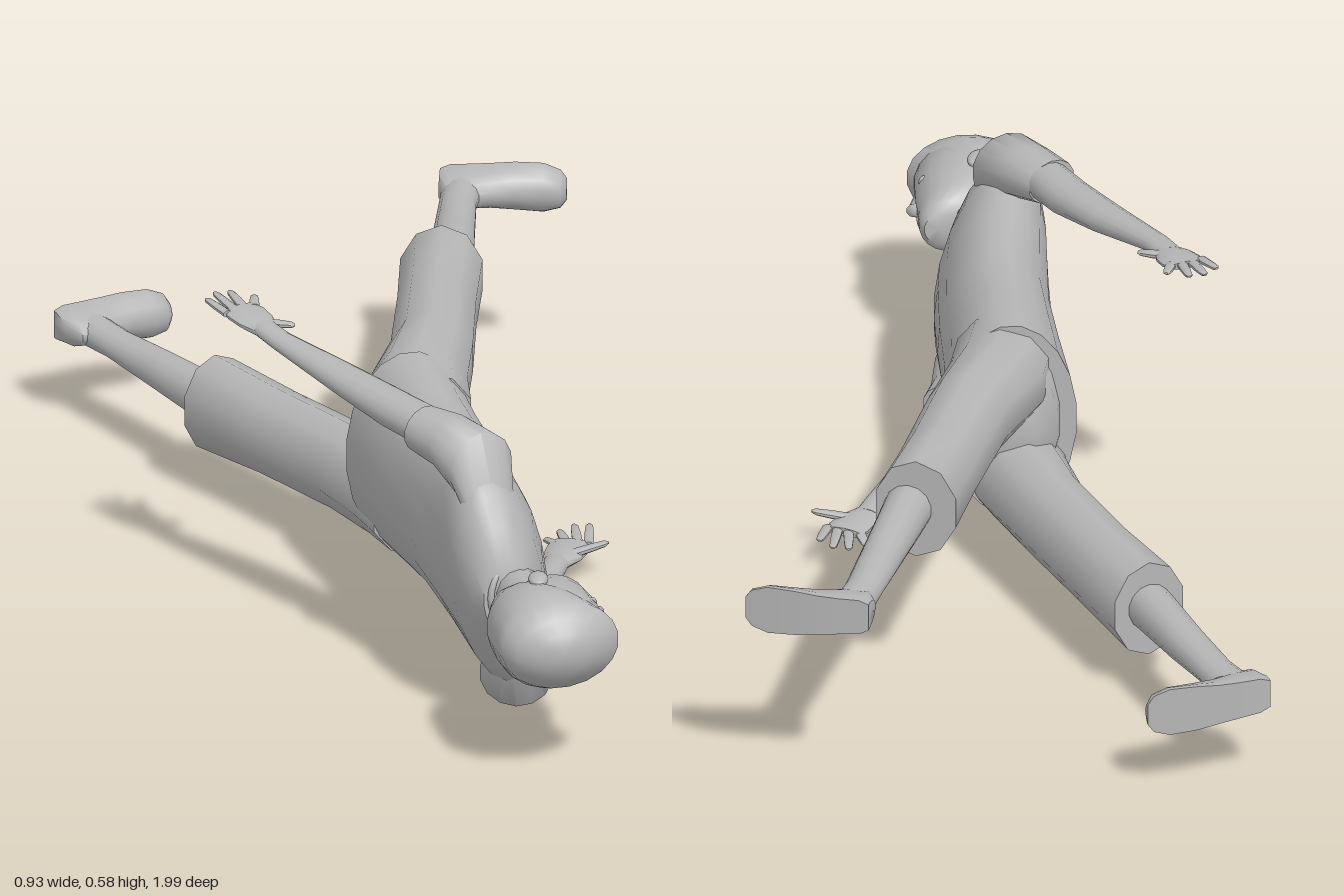
import * as THREE from 'three';
import { toCreasedNormals } from 'three/addons/utils/BufferGeometryUtils.js';

const grey = new THREE.MeshStandardMaterial({ color: 0xb6b6b6 });
grey.name = 'plain grey';

const Z = new THREE.Vector3(0, 0, 1);

// Crease at true size: the helper rounds positions, so work enlarged.
function crease(geo, angle) {
  geo.scale(100, 100, 100);
  return toCreasedNormals(geo, angle).scale(0.01, 0.01, 0.01);
}

// Skin elliptical rings [x, y, z, depth, width, twist]; width lies along y.
// flat clips the rings on one side, as for a sole.
function loft(name, rings, { n = 14, axis = null, flat = 1, angle = 0.9 } = {}) {
  const pos = [], index = [];
  const centres = rings.map(r => new THREE.Vector3(r[0], r[1], r[2]));
  const up = new THREE.Vector3(0, 1, 0);
  const last = rings.length - 1;
  rings.forEach(([x, y, z, d, w, twist = 0], i) => {
    const t = axis ? axis.clone() : centres[Math.min(i + 1, last)].clone().sub(centres[Math.max(i - 1, 0)]);
    const b = up.clone().cross(t).normalize();
    for (let j = 0; j < n; j++) {
      const a = ((j + 0.5) / n) * Math.PI * 2;
      const c = Math.min(Math.cos(a), flat) * d, s = Math.sin(a) * w;
      pos.push(x + b.x * c - twist * s, y + s, z + b.z * c);
    }
  });
  for (let i = 0; i < last; i++) {
    for (let j = 0; j < n; j++) {
      const k = (j + 1) % n, p = i * n, q = p + n;
      index.push(p + j, p + k, q + k, p + j, q + k, q + j);
    }
  }
  // End caps
  const c0 = pos.length / 3;
  pos.push(...centres[0].toArray(), ...centres[last].toArray());
  for (let j = 0; j < n; j++) {
    const k = (j + 1) % n;
    index.push(c0, k, j, c0 + 1, last * n + j, last * n + k);
  }
  const geo = new THREE.BufferGeometry();
  geo.setAttribute('position', new THREE.Float32BufferAttribute(pos, 3));
  geo.setIndex(index);
  const mesh = new THREE.Mesh(crease(geo, angle), grey);
  mesh.name = name;
  return mesh;
}

function blob(name, p, s) {
  const mesh = new THREE.Mesh(new THREE.SphereGeometry(1, 14, 10), grey);
  mesh.position.set(...p);
  mesh.scale.set(...s);
  mesh.name = name;
  return mesh;
}

// Foot with a slightly bowed flat sole
function foot(name, heel, toe) {
  const a = new THREE.Vector3(...heel), b = new THREE.Vector3(...toe);
  const rings = [
    [0, 0.05, 0.026], [0.08, 0.085, 0.034], [0.25, 0.09, 0.036], [0.42, 0.068, 0.039],
    [0.6, 0.052, 0.044], [0.82, 0.042, 0.046], [0.95, 0.034, 0.036], [1, 0.018, 0.02],
  ].map(([u, d, w]) => {
    const p = a.clone().lerp(b, u);
    return [p.x, p.y, p.z - 0.008 * Math.sin(Math.PI * u), d, w];
  });
  return loft(name, rings, { n: 16, axis: b.clone().sub(a), flat: 0 });
}

// Tapered digit from a knuckle to a tip
function digit(name, from, to, r) {
  const a = new THREE.Vector3(...from), b = new THREE.Vector3(...to);
  const rings = [[0, 1], [0.55, 0.9], [0.9, 0.7], [1, 0.3]]
    .map(([u, k]) => [...a.clone().lerp(b, u).toArray(), r * k, r * 0.65 * k]);
  return loft(name, rings, { n: 8 });
}

function arm(name, { sleeve, forearm, palm, tips, thumb }) {
  const g = new THREE.Group();
  g.name = name;
  g.add(loft('sleeve', sleeve, { angle: 1 }), loft('forearm', forearm), loft('palm', palm));
  const end = palm[palm.length - 1];
  tips.forEach((tip, i) => {
    // Knuckles spread evenly across the end of the palm
    const s = (i - 1.5) * 0.018;
    const tilt = end[0] < 0 ? -0.35 : 0.35;
    g.add(digit('finger', [end[0] + s, end[1], end[2] + 0.012 + s * tilt], tip, 0.01));
  });
  g.add(digit('thumb', thumb[0], thumb[1], 0.012));
  return g;
}

function leg(name, { trouser, shin, heel, toe }) {
  const g = new THREE.Group();
  g.name = name;
  g.add(loft('trouserLeg', trouser, { n: 10, angle: 1 }), loft('shin', shin), foot('foot', heel, toe));
  return g;
}

function head() {
  const g = new THREE.Group();
  g.name = 'head';
  const y = 0.265;
  const ring = ([z, x, d, w]) => [x, y, z, d, w];
  g.add(loft('neck', [[0.62, -0.05, 0.048, 0.055], [0.7, -0.046, 0.043, 0.05], [0.79, -0.04, 0.048, 0.052]].map(ring), { axis: Z }));
  g.add(loft('face', [
    [0.735, 0.025, 0.028, 0.028], [0.748, 0.008, 0.053, 0.05], [0.78, -0.015, 0.077, 0.069],
    [0.82, -0.03, 0.094, 0.08], [0.87, -0.035, 0.098, 0.086], [0.92, -0.035, 0.096, 0.084],
    [0.96, -0.035, 0.07, 0.06],
  ].map(ring), { n: 20, axis: Z }));
  g.add(loft('hair', [
    [0.785, -0.085, 0.04, 0.055], [0.83, -0.07, 0.071, 0.081], [0.88, -0.056, 0.088, 0.093],
    [0.915, -0.045, 0.099, 0.092], [0.942, -0.035, 0.108, 0.083], [0.972, -0.04, 0.082, 0.06],
    [0.989, -0.04, 0.048, 0.037], [0.997, -0.04, 0.015, 0.015],
  ].map(ring), { n: 20, axis: Z }));
  g.add(loft('nose', [
    [0.803, 0.058, 0.01, 0.01], [0.812, 0.063, 0.018, 0.014],
    [0.825, 0.061, 0.014, 0.009], [0.865, 0.055, 0.009, 0.007],
  ].map(ring), { n: 10, axis: Z, angle: 1.6 }));
  g.add(blob('mouth', [0.054, y, 0.776], [0.01, 0.02, 0.005]));
  for (const s of [-1, 1]) {
    g.add(blob('eye', [0.047, y + s * 0.035, 0.853], [0.009, 0.013, 0.006]));
    const ear = blob('ear', [-0.048, y + s * 0.087, 0.838], [0.018, 0.01, 0.03]);
    ear.rotation.y = -0.25;
    g.add(ear);
  }
  return g;
}

export function createModel() {
  const model = new THREE.Group();
  model.name = 'walkingFigure';
  model.add(head());

  // Shirt, with the shoulders turned against the hips: [z, x, depth, width, twist]
  const shirt = [
    [-0.02, -0.058, 0.118, 0.187, 0], [0.15, -0.054, 0.107, 0.176, 0.03], [0.3, -0.048, 0.102, 0.171, 0.06],
    [0.45, -0.05, 0.1, 0.188, 0.12], [0.54, -0.053, 0.096, 0.208, 0.15], [0.6, -0.06, 0.088, 0.208, 0.15],
    [0.64, -0.063, 0.078, 0.178, 0.13], [0.67, -0.066, 0.062, 0.125, 0.1], [0.7, -0.068, 0.044, 0.068, 0],
  ].map(([z, x, d, w, tw]) => [x, 0.263, z, d, w, tw]);
  model.add(loft('shirt', shirt, { n: 20, axis: Z }));

  const collar = new THREE.Mesh(new THREE.TorusGeometry(0.056, 0.006, 8, 24), grey);
  collar.name = 'collar';
  collar.position.set(-0.05, 0.265, 0.675);
  collar.rotation.y = 0.5;
  collar.scale.y = 1.1;
  model.add(collar);

  // Seat narrows to the crotch between the legs
  model.add(loft('trouserSeat', [
    [-0.05, 0.262, -0.09, 0.05, 0.06], [-0.052, 0.262, -0.05, 0.088, 0.16], [-0.055, 0.262, 0.05, 0.105, 0.178],
  ], { n: 16, axis: Z, angle: 1.3 }));

  model.add(arm('rightArm', {
    sleeve: [[-0.075, 0.378, 0.638, 0.04, 0.045], [-0.085, 0.468, 0.578, 0.066, 0.064],
      [-0.12, 0.491, 0.505, 0.057, 0.05], [-0.157, 0.498, 0.448, 0.05, 0.041]],
    forearm: [[-0.14, 0.5, 0.47, 0.042, 0.036], [-0.185, 0.505, 0.37, 0.042, 0.034], [-0.245, 0.521, 0.25, 0.037, 0.026],
      [-0.325, 0.545, 0.1, 0.024, 0.016], [-0.345, 0.552, 0.045, 0.024, 0.013]],
    palm: [[-0.34, 0.55, 0.055, 0.024, 0.013], [-0.352, 0.556, 0.025, 0.036, 0.012],
      [-0.363, 0.561, -0.005, 0.039, 0.01], [-0.37, 0.564, -0.025, 0.034, 0.007]],
    tips: [[-0.422, 0.573, -0.06], [-0.4, 0.573, -0.085], [-0.372, 0.572, -0.088], [-0.332, 0.568, -0.065]],
    thumb: [[-0.345, 0.555, 0.03], [-0.288, 0.553, 0.052]],
  }));
  model.add(arm('leftArm', {
    sleeve: [[-0.045, 0.148, 0.638, 0.04, 0.045], [-0.02, 0.064, 0.578, 0.066, 0.063],
      [0, 0.053, 0.505, 0.057, 0.05], [0.026, 0.058, 0.44, 0.05, 0.043]],
    forearm: [[0.015, 0.06, 0.46, 0.042, 0.036], [0.038, 0.058, 0.36, 0.042, 0.032], [0.08, 0.054, 0.25, 0.038, 0.027],
      [0.168, 0.048, 0.1, 0.025, 0.018], [0.195, 0.046, 0.045, 0.024, 0.014]],
    palm: [[0.19, 0.046, 0.055, 0.024, 0.013], [0.212, 0.047, 0.025, 0.036, 0.013],
      [0.23, 0.048, -0.005, 0.039, 0.011], [0.24, 0.05, -0.025, 0.034, 0.008]],
    tips: [[0.203, 0.044, -0.066], [0.235, 0.048, -0.09], [0.264, 0.054, -0.095], [0.287, 0.06, -0.076]],
    thumb: [[0.22, 0.05, 0.03], [0.294, 0.066, 0.03]],
  }));

  model.add(leg('rightLeg', {
    trouser: [[-0.052, 0.358, 0.05, 0.09, 0.08], [-0.03, 0.358, -0.06, 0.09, 0.087], [0.03, 0.36, -0.2, 0.077, 0.088],
      [0.092, 0.361, -0.4, 0.074, 0.087], [0.143, 0.363, -0.562, 0.077, 0.094]],
    shin: [[0.14, 0.362, -0.5, 0.046, 0.048], [0.17, 0.362, -0.6, 0.042, 0.045], [0.21, 0.362, -0.73, 0.038, 0.036],
      [0.254, 0.361, -0.87, 0.034, 0.026], [0.28, 0.36, -0.94, 0.036, 0.03]],
    heel: [0.252, 0.362, -0.985], toe: [0.467, 0.354, -0.914],
  }));
  model.add(leg('leftLeg', {
    trouser: [[-0.06, 0.168, 0.05, 0.09, 0.08], [-0.075, 0.165, -0.06, 0.087, 0.084], [-0.12, 0.162, -0.2, 0.072, 0.083],
      [-0.2, 0.159, -0.4, 0.07, 0.083], [-0.272, 0.157, -0.57, 0.071, 0.091]],
    shin: [[-0.25, 0.16, -0.51, 0.044, 0.046], [-0.285, 0.161, -0.6, 0.041, 0.043], [-0.33, 0.164, -0.73, 0.037, 0.035],
      [-0.375, 0.168, -0.85, 0.034, 0.026], [-0.408, 0.172, -0.93, 0.036, 0.03]],
    heel: [-0.466, 0.175, -0.955], toe: [-0.245, 0.16, -0.997],
  }));
  return model;
}
